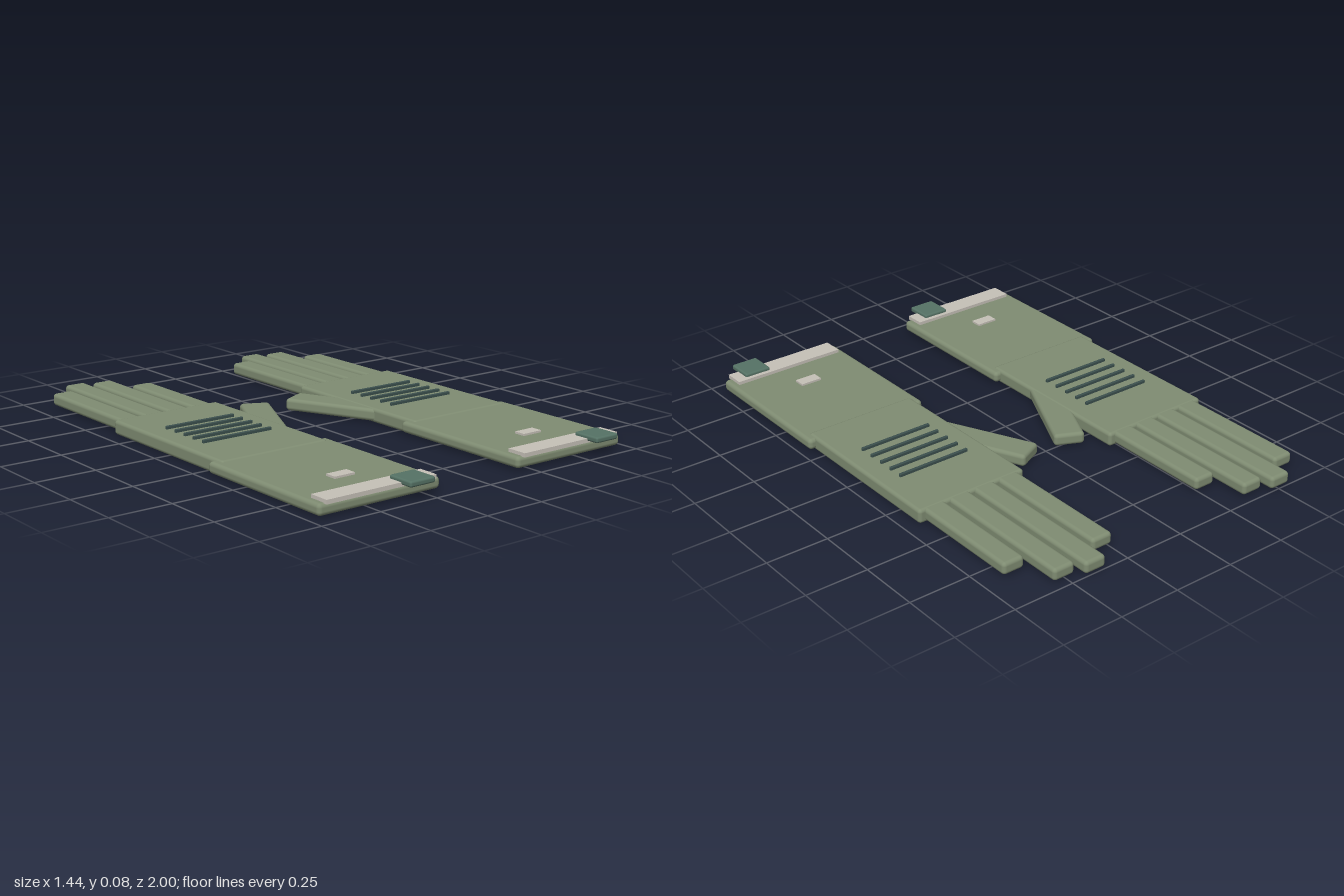
import * as THREE from 'three';
import { RoundedBoxGeometry } from 'three/addons/geometries/RoundedBoxGeometry.js';

const material = (name, color) => {
  const m = new THREE.MeshStandardMaterial({ color });
  m.name = name;
  return m;
};

export function createModel() {
  const fabric = material('olive fabric', 0x7f8c72);
  const trim = material('pale trim', 0xc6c1b8);
  const teal = material('teal tab', 0x557265);
  const dark = material('dark ribs', 0x3b4f4d);

  // Rounded slab given by its extents: [min, max] on each axis
  function slab(parent, name, mat, [x0, x1], [y0, y1], [z0, z1], radius) {
    const w = x1 - x0, h = y1 - y0, d = z1 - z0;
    const geometry = radius
      ? new RoundedBoxGeometry(w, h, d, 3, radius)
      : new THREE.BoxGeometry(w, h, d);
    const mesh = new THREE.Mesh(geometry, mat);
    mesh.name = name;
    mesh.position.set((x0 + x1) / 2, (y0 + y1) / 2, (z0 + z1) / 2);
    parent.add(mesh);
    return mesh;
  }

  // One glove; thumbSide is +1 or -1 and only moves the thumb
  function glove(name, thumbSide) {
    const g = new THREE.Group();
    g.name = name;

    slab(g, 'cuff', fabric, [-0.267, 0.267], [0.008, 0.053], [0.3, 0.945], 0.016);
    slab(g, 'palm', fabric, [-0.24, 0.24], [0, 0.058], [-0.38, 0.352], 0.014);

    // Four fingers, running into the palm
    [-0.905, -1, -0.967, -0.832].forEach((tip, i) => {
      const x = -0.168 + i * 0.112;
      slab(g, 'finger', fabric, [x - 0.046, x + 0.046], [0.006, 0.056], [tip, -0.33], 0.015);
    });

    // Splayed thumb
    const thumb = slab(g, 'thumb', fabric, [-0.061, 0.061], [0.005, 0.055], [-0.22, 0.22], 0.015);
    thumb.position.x = thumbSide * 0.262;
    thumb.position.z = -0.08;
    thumb.rotation.y = -thumbSide * 0.445;

    // Ribs across the back of the hand
    for (let i = 0; i < 5; i++) {
      const z = -0.139 + i * 0.0615;
      slab(g, 'rib', dark, [-0.156, 0.156], [0.055, 0.07], [z - 0.006, z + 0.006], 0.003);
    }

    // Cuff details
    slab(g, 'label', trim, [-0.045, 0.045], [0.052, 0.061], [0.701, 0.749]);
    slab(g, 'hemBand', trim, [-0.24, 0.24], [0.05, 0.066], [0.868, 0.952]);
    slab(g, 'pullTab', teal, [0.082, 0.195], [0.056, 0.079], [0.886, 1], 0.008);
    return g;
  }

  const model = new THREE.Group();
  model.name = 'gloves';
  for (const side of [-1, 1]) {
    const g = glove(side < 0 ? 'rightGlove' : 'leftGlove', -side);
    g.position.x = side * 0.452;
    model.add(g);
  }
  return model;
}
